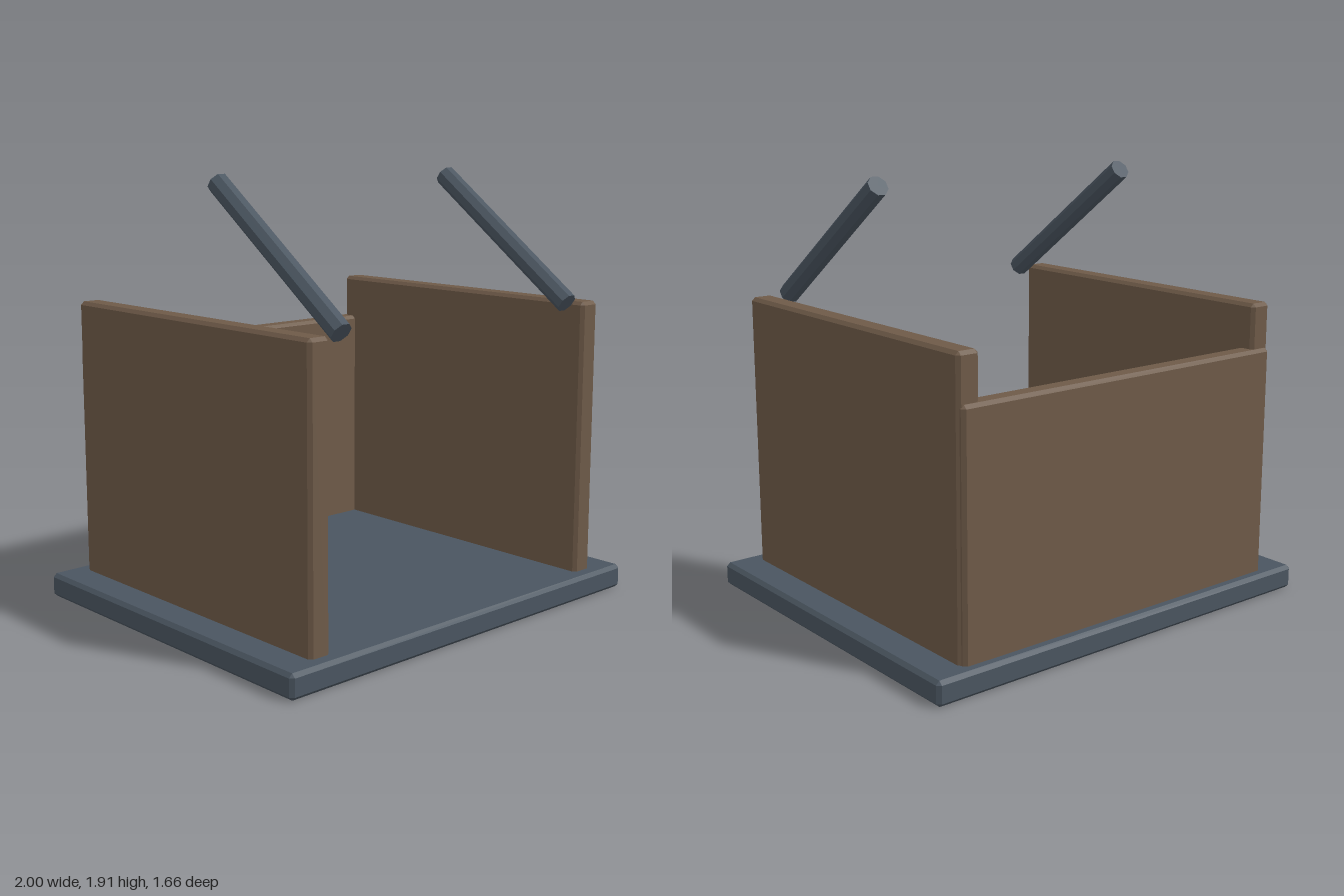
import * as THREE from 'three';
import { ConvexGeometry } from 'three/addons/geometries/ConvexGeometry.js';

const slate = new THREE.MeshStandardMaterial({ color: 0x4a5560 });
slate.name = 'slate';
const wood = new THREE.MeshStandardMaterial({ color: 0x6e5a48 });
wood.name = 'brown wood';

// Box between two corners with every edge chamfered by c
function chamferedBox(name, min, max, c, material) {
  const half = max.map((v, i) => (v - min[i]) / 2);
  const points = [];
  for (const sx of [-1, 1]) for (const sy of [-1, 1]) for (const sz of [-1, 1]) {
    const signs = [sx, sy, sz];
    for (let axis = 0; axis < 3; axis++) {
      const p = signs.map((s, i) => s * (half[i] - (i === axis ? 0 : c)));
      points.push(new THREE.Vector3(...p));
    }
  }
  const mesh = new THREE.Mesh(new ConvexGeometry(points), material);
  mesh.name = name;
  mesh.position.set(...max.map((v, i) => (v + min[i]) / 2));
  return mesh;
}

// Eight-sided rod between two points
function rod(name, from, to, radius) {
  const dir = to.clone().sub(from);
  const geometry = new THREE.CylinderGeometry(radius, radius, dir.length(), 8).toNonIndexed();
  geometry.rotateY(Math.PI / 8);
  geometry.computeVertexNormals();
  const mesh = new THREE.Mesh(geometry, slate);
  mesh.name = name;
  mesh.position.copy(from).add(to).multiplyScalar(0.5);
  mesh.quaternion.setFromUnitVectors(new THREE.Vector3(0, 1, 0), dir.normalize());
  return mesh;
}

export function createModel() {
  const group = new THREE.Group();
  group.name = 'openBin';

  // Base slab and back panel
  group.add(chamferedBox('base', [-1, 0, -0.83], [1, 0.107, 0.83], 0.016, slate));
  group.add(chamferedBox('backPanel', [-0.84, 0.004, -0.783], [0.84, 1.135, -0.69], 0.015, wood));

  // Side walls and slanted rods, mirrored left and right
  for (const [side, s] of [['left', 1], ['right', -1]]) {
    const x = 0.798 * s;
    group.add(chamferedBox(side + 'Wall', [x - 0.052, 0.004, -0.765], [x + 0.052, 1.335, 0.765], 0.015, wood));
    group.add(rod(side + 'Rod',
      new THREE.Vector3(0.667 * s, 1.336, 0.737),
      new THREE.Vector3(0.667 * s, 1.87, 0.003), 0.047));
  }
  return group;
}
